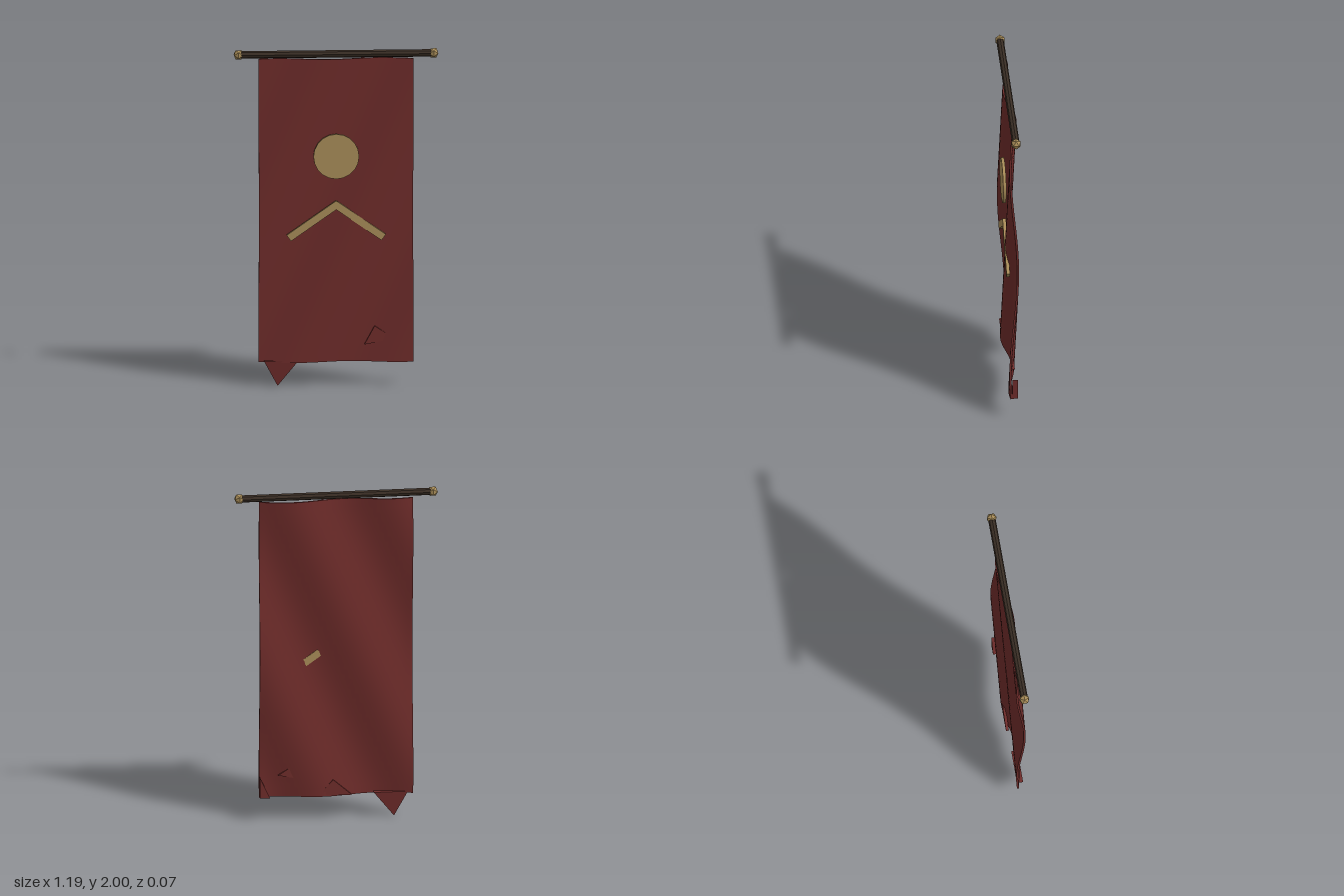
import * as THREE from 'three';

const cloth = new THREE.MeshStandardMaterial({ color: 0x6e2c2a });
const gold = new THREE.MeshStandardMaterial({ color: 0xa88c58 });
const brass = new THREE.MeshStandardMaterial({ color: 0xa88c58, flatShading: true });
const wood = new THREE.MeshStandardMaterial({ color: 0x3a2e25, flatShading: true });

// Diagonal folds of the hanging cloth
const fold = (x, y) => 0.022 * Math.cos(10.5 * (x + 0.45) - 4.5 * (y - 1));

function add(group, name, geometry, material, x = 0, y = 0, z = 0) {
  const mesh = new THREE.Mesh(geometry, material);
  mesh.name = name;
  mesh.position.set(x, y, z);
  group.add(mesh);
  return mesh;
}

// Thin triangular scrap of cloth between two depths
function scrap(corners, back, front) {
  const shape = new THREE.Shape(corners.map(([x, y]) => new THREE.Vector2(x, y)));
  const geometry = new THREE.ExtrudeGeometry(shape, { depth: front - back, bevelEnabled: false });
  return geometry.translate(0, 0, back);
}

export function createModel() {
  const model = new THREE.Group();
  model.name = 'hangingBanner';

  // Pole and faceted finials
  const pole = new THREE.CylinderGeometry(0.022, 0.022, 1.14, 8).rotateZ(Math.PI / 2);
  add(model, 'pole', pole, wood, 0, 1.968);
  for (const side of [-1, 1]) {
    add(model, side > 0 ? 'leftFinial' : 'rightFinial',
      new THREE.IcosahedronGeometry(0.032, 0), brass, side * 0.568, 1.968);
  }

  // Rippled banner cloth
  const sheet = new THREE.BoxGeometry(0.9, 1.8, 0.012, 28, 36, 1).translate(0, 1.04, 0);
  const p = sheet.attributes.position;
  for (let i = 0; i < p.count; i++) p.setZ(i, p.getZ(i) + fold(p.getX(i), p.getY(i)));
  sheet.computeVertexNormals();
  add(model, 'bannerCloth', sheet, cloth);

  // Torn hem: a hanging point that narrows to its tip, and loose scraps
  const point = scrap([[-0.42, 0.15], [-0.34, 0], [-0.22, 0.15]], -0.018, 0.018);
  const q = point.attributes.position;
  for (let i = 0; i < q.count; i++) q.setZ(i, q.getZ(i) * Math.max(q.getY(i) / 0.15, 0.05));
  point.computeVertexNormals();
  add(model, 'tornPoint', point, cloth);
  add(model, 'frontScrap', scrap([[0.165, 0.24], [0.34, 0.275], [0.225, 0.35]], -0.012, 0.004), cloth);
  add(model, 'backScrap', scrap([[-0.09, 0.145], [0.11, 0.145], [0.02, 0.24]], -0.027, -0.01), cloth);
  add(model, 'cornerScrap', scrap([[0.39, 0.142], [0.449, 0.142], [0.449, 0.27]], -0.022, 0.01), cloth);

  // Emblem: a disc above a chevron
  const disc = new THREE.CylinderGeometry(0.133, 0.133, 0.018, 20).rotateX(Math.PI / 2);
  add(model, 'emblemDisc', disc, gold, 0, 1.365, 0.029);
  for (const side of [-1, 1]) {
    const bar = add(model, side > 0 ? 'leftChevronBar' : 'rightChevronBar',
      new THREE.BoxGeometry(0.35, 0.043, 0.02), gold, side * 0.133, 0.982, 0.022);
    bar.rotation.z = -side * 0.61;
  }
  return model;
}
